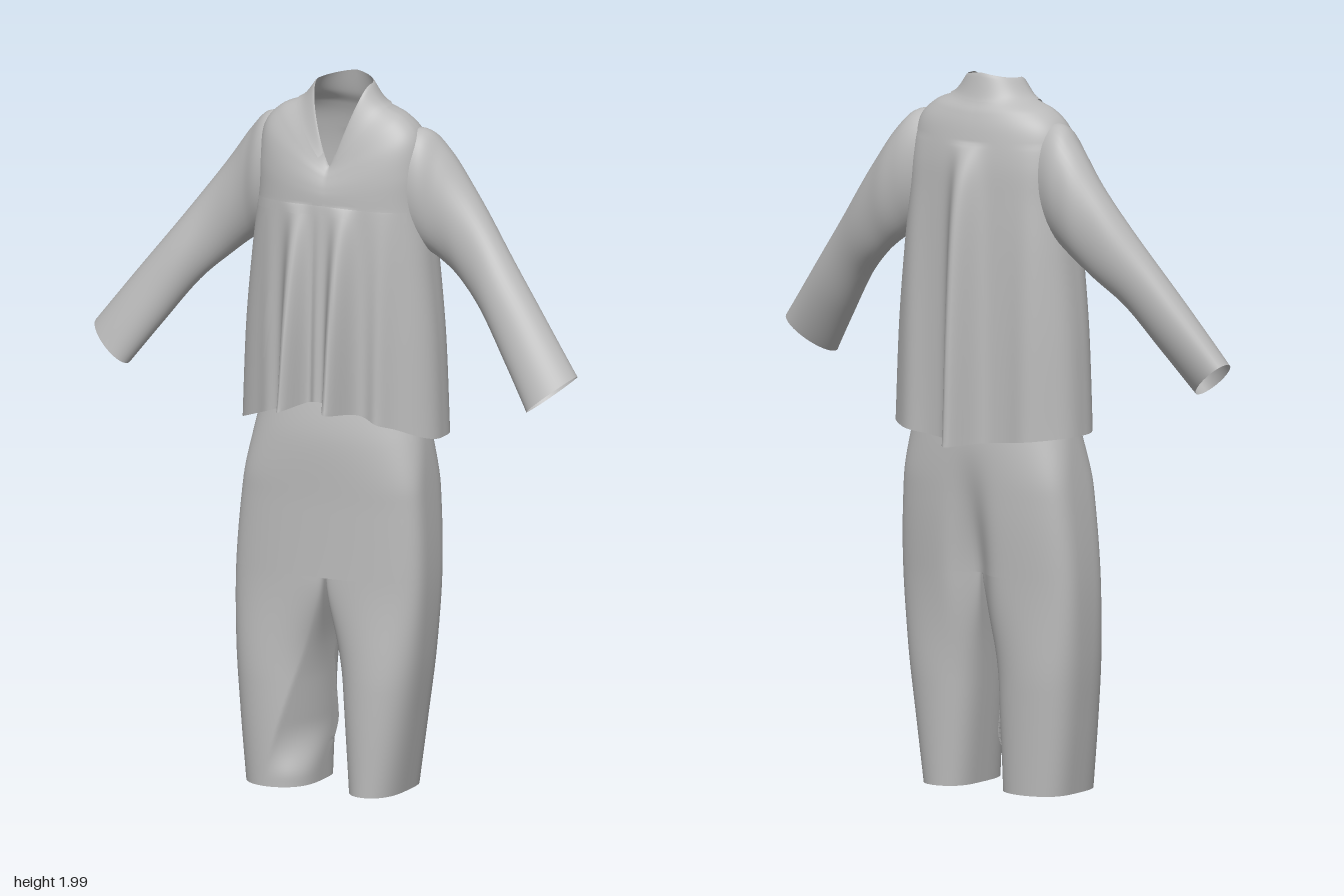
import * as THREE from 'three';

const cloth = new THREE.MeshStandardMaterial({ color: 0xbababa, side: THREE.DoubleSide });
cloth.name = 'grey cloth';

const { clamp, lerp, smoothstep } = THREE.MathUtils;
const bump = (x, centre, width) => Math.exp(-(((x - centre) / width) ** 2));
const power = (c, p) => Math.sign(c) * Math.abs(c) ** p;

// Smooth interpolation through table rows; t runs from 0 to rows.length - 1
function sample(rows, t) {
  const n = rows.length - 1;
  const i = clamp(Math.floor(t), 0, n - 1), f = t - i;
  const r = k => rows[clamp(k, 0, n)];
  return r(i).map((p1, c) => {
    const p0 = r(i - 1)[c], p2 = r(i + 1)[c], p3 = r(i + 2)[c];
    return p1 + 0.5 * f * (p2 - p0 + f * (2 * p0 - 5 * p1 + 4 * p2 - p3 + f * (3 * (p1 - p2) + p3 - p0)));
  });
}

// Grid surface from a rule point(u, v); closed surfaces wrap in u
function surface(name, nu, nv, closed, point) {
  const pos = [], index = [], cols = closed ? nu : nu + 1;
  for (let j = 0; j <= nv; j++)
    for (let i = 0; i < cols; i++) pos.push(...point(i / nu, j / nv));
  for (let j = 0; j < nv; j++)
    for (let i = 0; i < nu; i++) {
      const a = j * cols + i, b = j * cols + (i + 1) % cols;
      index.push(a, b, b + cols, a, b + cols, a + cols);
    }
  const g = new THREE.BufferGeometry();
  g.setAttribute('position', new THREE.Float32BufferAttribute(pos, 3));
  g.setIndex(index);
  g.computeVertexNormals();
  const mesh = new THREE.Mesh(g, cloth);
  mesh.name = name;
  return mesh;
}

// Jacket rings: half width, front z, back z, front y, side y, back y, roundness
const jacketRings = [
  [0.3, 0.145, -0.152, 1.115, 1.01, 0.98, 0.85],
  [0.289, 0.143, -0.152, 1.33, 1.28, 1.26, 0.85],
  [0.268, 0.14, -0.15, 1.52, 1.5, 1.5, 0.82],
  [0.25, 0.136, -0.147, 1.66, 1.65, 1.66, 0.8],
  [0.248, 0.13, -0.142, 1.705, 1.76, 1.76, 0.82],
  [0.234, 0.118, -0.128, 1.735, 1.85, 1.84, 0.86],
  [0.188, 0.108, -0.112, 1.75, 1.902, 1.89, 0.95],
  [0.118, 0.1, -0.092, 1.76, 1.934, 1.93, 1],
  [0.08, 0.094, -0.075, 1.765, 1.985, 2.0, 1],
];

function jacketPoint(theta, t, offset = 0) {
  const [a, zf, zb, yf, ys, yb, p] = sample(jacketRings, t);
  const s = Math.sin(theta), c = Math.cos(theta), front = c > 0;
  const x = a * s, w = 1 - Math.abs(s) ** 1.2;
  let z = front ? power(c, p) * zf : -power(c, p * lerp(0.7, 1, t / 8)) * zb;
  const y = ys + ((front ? yf : yb) - ys) * w;
  // Folds grow from the yoke in front and from the shoulder blades behind
  if (front) {
    const k = clamp((3 - t) / 3, 0, 1) ** 0.85;
    z += k * (0.115 * bump(x, -0.078, 0.032) + 0.11 * bump(x, 0.06, 0.032)
      + 0.025 * bump(x, -0.005, 0.02) + 0.025 * bump(x, 0.17, 0.03) + 0.012 * bump(x, -0.17, 0.03));
  } else {
    const k = clamp((4.6 - t) / 4.6, 0, 1) ** 0.65;
    z -= k * (0.1 * bump(x, 0, 0.042) + 0.018 * bump(x, 0.2, 0.05) + 0.018 * bump(x, -0.2, 0.05));
  }
  return [x + offset * s, y + offset * 0.4, z + offset * c];
}

// Cloth plate lying on the jacket front; slant shifts its top sideways
function frontPlate(name, x0, x1, t0, t1, slant = 0) {
  return surface(name, 40, 16, false, (u, v) => {
    const t = t0 + (t1 - t0) * v;
    const x = x0 + (x1 - x0) * u + slant * v;
    const a = sample(jacketRings, t)[0];
    return jacketPoint(Math.asin(clamp(x / a, -1, 1)), t, 0.003);
  });
}

// Sleeve sections: top x, top y, bottom x, bottom y, z, half depth
const sleeveRows = [
  [0.15, 1.86, 0.19, 1.56, -0.01, 0.075],
  [0.235, 1.872, 0.245, 1.535, -0.022, 0.088],
  [0.295, 1.82, 0.292, 1.505, -0.034, 0.08],
  [0.38, 1.705, 0.355, 1.455, -0.032, 0.068],
  [0.5, 1.545, 0.44, 1.375, 0.002, 0.062],
  [0.62, 1.39, 0.53, 1.255, 0.04, 0.06],
  [0.735, 1.24, 0.613, 1.14, 0.075, 0.056],
];

function sleeve(name) {
  return surface(name, 40, 48, true, (u, v) => {
    const [tx, ty, bx, by, z, d] = sample(sleeveRows, v * 6);
    const c = Math.cos(u * 2 * Math.PI), s = Math.sin(u * 2 * Math.PI);
    // Soft wrinkles around the elbow
    const wrinkle = 1 + 0.03 * Math.sin(v * 26 + 2 * s) * bump(v, 0.55, 0.25);
    return [(tx + bx) / 2 + (tx - bx) / 2 * c, (ty + by) / 2 + (ty - by) / 2 * c,
      z + d * s * wrinkle - 0.025 * c * v * v];
  });
}

// Trouser sections: y, right outer x, right inner x, left inner x, left outer x, front z, back z
const trouserRows = [
  [0.006, -0.26, -0.055, 0.06, 0.207, 0.162, -0.105],
  [0.2, -0.28, -0.047, 0.043, 0.235, 0.16, -0.112],
  [0.4, -0.297, -0.036, 0.025, 0.262, 0.153, -0.12],
  [0.6, -0.3, -0.002, 0.004, 0.276, 0.145, -0.132],
  [0.8, -0.285, 0, 0, 0.272, 0.139, -0.141],
  [1.0, -0.257, 0, 0, 0.256, 0.134, -0.138],
  [1.15, -0.225, 0, 0, 0.225, 0.1, -0.11],
];

// Depth of the joined hips at x, with a valley between the legs behind
function hipDepth(x, section, front) {
  const [y, x0, , , x1, zf, zb] = section;
  const X = clamp((2 * x - x0 - x1) / (x1 - x0), -1, 1);
  const round = 0.2 + 0.2 * smoothstep(y, 0.85, 1.08);
  const curve = (1 - X * X) ** (front ? round : round + 0.05);
  const valley = 0.05 * bump(x, 0, 0.05) * (1 - smoothstep(y, 0.6, 1));
  return front ? zf * curve : zb * curve + valley;
}

function hips() {
  return surface('trouserHips', 144, 36, true, (u, v) => {
    const section = sample(trouserRows, lerp(3.05, 6, v));
    const [y, x0, , , x1] = section;
    const x = (x0 + x1) / 2 + (x1 - x0) / 2 * Math.sin(u * 2 * Math.PI);
    return [x, y, hipDepth(x, section, Math.cos(u * 2 * Math.PI) > 0)];
  });
}

function leg(name, side) {
  return surface(name, 96, 48, true, (u, v) => {
    const section = sample(trouserRows, v * 3.06);
    const [y, rightOuter, rightInner, leftInner, leftOuter, zf, zb] = section;
    const [x0, x1] = side > 0 ? [leftInner, leftOuter] : [rightOuter, rightInner];
    const s = Math.sin(u * 2 * Math.PI), c = Math.cos(u * 2 * Math.PI);
    const x = (x0 + x1) / 2 + (x1 - x0) / 2 * s;
    // Tubes at the hem become halves of the hips at the crotch
    const join = smoothstep(y, 0.3, 0.61);
    const tube = 0.01 + power(c, 0.6) * (c > 0 ? zf - 0.01 : 0.01 - zb);
    const half = hipDepth(x, section, c > 0) * (s * side < 0 ? Math.abs(c) ** 0.08 : 1);
    let z = lerp(tube, half, join);
    // Slanting fold on the front of the right leg
    if (side < 0 && c > 0) {
      const past = Math.max(0, x + (0.6 - y) * 0.3);
      z -= 0.9 * past * smoothstep(y, 0.03, 0.18) * (1 - join);
    }
    return [x, y, z];
  });
}

export function createModel() {
  const model = new THREE.Group();
  model.name = 'jacketAndTrousers';

  // Jacket
  const jacket = new THREE.Group();
  jacket.name = 'jacket';
  jacket.add(surface('jacketBody', 240, 80, true, (u, v) => jacketPoint(u * 2 * Math.PI, v * 8)));
  const leftSleeve = sleeve('leftSleeve'), rightSleeve = sleeve('rightSleeve');
  rightSleeve.scale.x = -1;
  jacket.add(leftSleeve, rightSleeve);

  // Turned-down collar with open front ends
  jacket.add(surface('collar', 96, 10, false, (u, v) => {
    const theta = 0.22 + u * (2 * Math.PI - 0.44);
    return jacketPoint(theta, 6.8 + 1.2 * v, 0.005 * Math.sqrt(1 - v));
  }));

  // Yoke seam band, front placket, collar tab, slanted pockets and lapels
  jacket.add(frontPlate('yokeBand', -0.225, 0.225, 2.78, 3.0));
  jacket.add(frontPlate('placket', -0.022, 0.014, 0, 3));
  jacket.add(frontPlate('collarTab', -0.03, 0.0, 3, 3.6));
  for (const s of [-1, 1]) {
    jacket.add(frontPlate('pocketWelt', s * 0.19 - 0.012, s * 0.19 + 0.012, 0.65, 1.45, -s * 0.035));
    jacket.add(frontPlate('lapel', s > 0 ? 0.02 : -0.07, s > 0 ? 0.07 : -0.02, 5.2, 6.6, s * 0.01));
  }

  // Trousers
  const trousers = new THREE.Group();
  trousers.name = 'trousers';
  trousers.add(hips(), leg('leftTrouserLeg', 1), leg('rightTrouserLeg', -1));

  model.add(jacket, trousers);
  return model;
}
